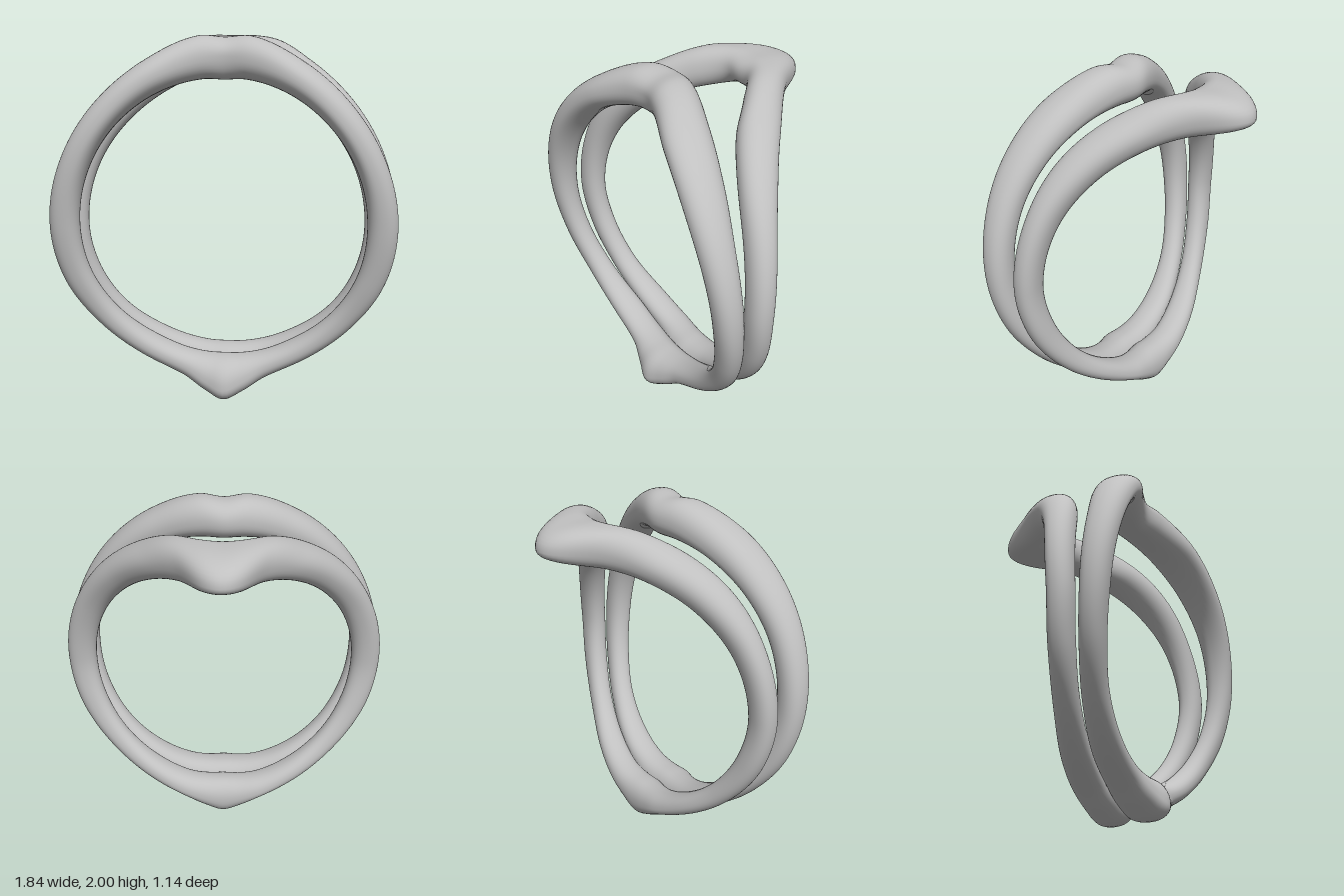
import * as THREE from 'three';

// Cross-section stations from the top (0 deg) to the bottom (180 deg):
// angle, inner radius, outer radius, front z, back z,
// radius of front point, radius of back point, z of inner point, z of outer point
const frontStations = [
  [0, 0.77, 0.99, 0.385, 0.13, 0.90, 0.885, 0.29, 0.25],
  [8, 0.78, 1.008, 0.415, 0.155, 0.90, 0.885, 0.29, 0.28],
  [25, 0.785, 0.97, 0.51, 0.24, 0.88, 0.86, 0.36, 0.36],
  [45, 0.78, 0.94, 0.558, 0.325, 0.85, 0.85, 0.43, 0.44],
  [65, 0.77, 0.925, 0.565, 0.38, 0.84, 0.84, 0.46, 0.47],
  [90, 0.76, 0.92, 0.535, 0.387, 0.84, 0.84, 0.46, 0.46],
  [110, 0.76, 0.91, 0.485, 0.35, 0.83, 0.83, 0.42, 0.42],
  [130, 0.76, 0.89, 0.425, 0.285, 0.825, 0.825, 0.355, 0.355],
  [150, 0.76, 0.885, 0.392, 0.22, 0.825, 0.825, 0.30, 0.31],
  [165, 0.765, 0.905, 0.39, 0.197, 0.84, 0.85, 0.29, 0.30],
  [174, 0.763, 0.96, 0.425, 0.19, 0.89, 0.88, 0.29, 0.33],
  [180, 0.76, 0.998, 0.455, 0.19, 0.92, 0.89, 0.29, 0.34],
];
const backStations = [
  [0, 0.77, 0.965, -0.19, -0.57, 0.88, 0.84, -0.37, -0.31],
  [7, 0.77, 0.975, -0.18, -0.52, 0.88, 0.845, -0.34, -0.28],
  [16, 0.765, 0.985, -0.06, -0.34, 0.88, 0.86, -0.20, -0.19],
  [28, 0.76, 0.96, 0.10, -0.18, 0.86, 0.86, -0.04, -0.04],
  [45, 0.755, 0.943, 0.225, 0.0, 0.85, 0.85, 0.11, 0.11],
  [65, 0.755, 0.93, 0.297, 0.135, 0.84, 0.84, 0.21, 0.21],
  [90, 0.755, 0.92, 0.335, 0.2, 0.84, 0.84, 0.265, 0.265],
  [110, 0.757, 0.91, 0.312, 0.18, 0.83, 0.83, 0.245, 0.245],
  [130, 0.76, 0.89, 0.262, 0.125, 0.825, 0.825, 0.19, 0.19],
  [150, 0.76, 0.885, 0.212, 0.045, 0.825, 0.825, 0.13, 0.13],
  [165, 0.765, 0.905, 0.19, 0.005, 0.84, 0.85, 0.10, 0.10],
  [174, 0.763, 0.96, 0.215, 0.0, 0.89, 0.87, 0.10, 0.12],
  [180, 0.76, 0.998, 0.24, 0.0, 0.93, 0.88, 0.10, 0.13],
];

// Smooth interpolation of one station at an angle, mirrored beyond both ends
function sampleStation(stations, deg) {
  const n = stations.length;
  const at = (i) => {
    if (i < 0) return [-stations[-i][0], ...stations[-i].slice(1)];
    if (i >= n) {
      const s = stations[2 * n - 2 - i];
      return [360 - s[0], ...s.slice(1)];
    }
    return stations[i];
  };
  let i = 0;
  while (i < n - 2 && deg > stations[i + 1][0]) i++;
  const [p0, p1, p2, p3] = [at(i - 1), at(i), at(i + 1), at(i + 2)];
  const h = p2[0] - p1[0];
  const u = (deg - p1[0]) / h;
  return p1.map((v, k) => {
    const m1 = ((p2[k] - p0[k]) / (p2[0] - p0[0])) * h;
    const m2 = ((p3[k] - p1[k]) / (p3[0] - p1[0])) * h;
    const u2 = u * u, u3 = u2 * u;
    return (2 * u3 - 3 * u2 + 1) * v + (u3 - 2 * u2 + u) * m1
      + (3 * u2 - 2 * u3) * p2[k] + (u3 - u2) * m2;
  });
}

// Closed band: four rounded quarters per section join its outer, front, inner and back points
function bandGeometry(stations, around = 240, sides = 40) {
  const positions = [], index = [];
  const soften = (v) => Math.sign(v) * Math.abs(v) ** 0.9;
  for (let i = 0; i < around; i++) {
    const deg = (i / around) * 360;
    const [, rIn, rOut, zFront, zBack, rFront, rBack, zIn, zOut] =
      sampleStation(stations, deg > 180 ? 360 - deg : deg);
    const t = THREE.MathUtils.degToRad(deg);
    for (let j = 0; j < sides; j++) {
      const a = (j / sides) * Math.PI * 2;
      const c = soften(Math.cos(a)), s = soften(Math.sin(a));
      const rSide = s >= 0 ? rFront : rBack;
      const zMid = c >= 0 ? zOut : zIn;
      const r = rSide + Math.abs(c) * ((c >= 0 ? rOut : rIn) - rSide);
      const z = zMid + Math.abs(s) * ((s >= 0 ? zFront : zBack) - zMid);
      positions.push(r * Math.sin(t), 1 + r * Math.cos(t), z);

      const i2 = (i + 1) % around, j2 = (j + 1) % sides;
      const p = i * sides + j, q = i * sides + j2;
      const v = i2 * sides + j, w = i2 * sides + j2;
      index.push(p, q, v, q, w, v);
    }
  }
  const geometry = new THREE.BufferGeometry();
  geometry.setAttribute('position', new THREE.Float32BufferAttribute(positions, 3));
  geometry.setIndex(index);
  geometry.computeVertexNormals();
  return geometry;
}

export function createModel() {
  const metal = new THREE.MeshStandardMaterial({ color: 0xc0c0c0 });
  metal.name = 'silver grey';

  const model = new THREE.Group();
  model.name = 'doubleBandRing';

  // Front band with a shallow chevron, back band with a deep one
  for (const [name, stations] of [['frontBand', frontStations], ['backBand', backStations]]) {
    const band = new THREE.Mesh(bandGeometry(stations), metal);
    band.name = name;
    model.add(band);
  }
  return model;
}
